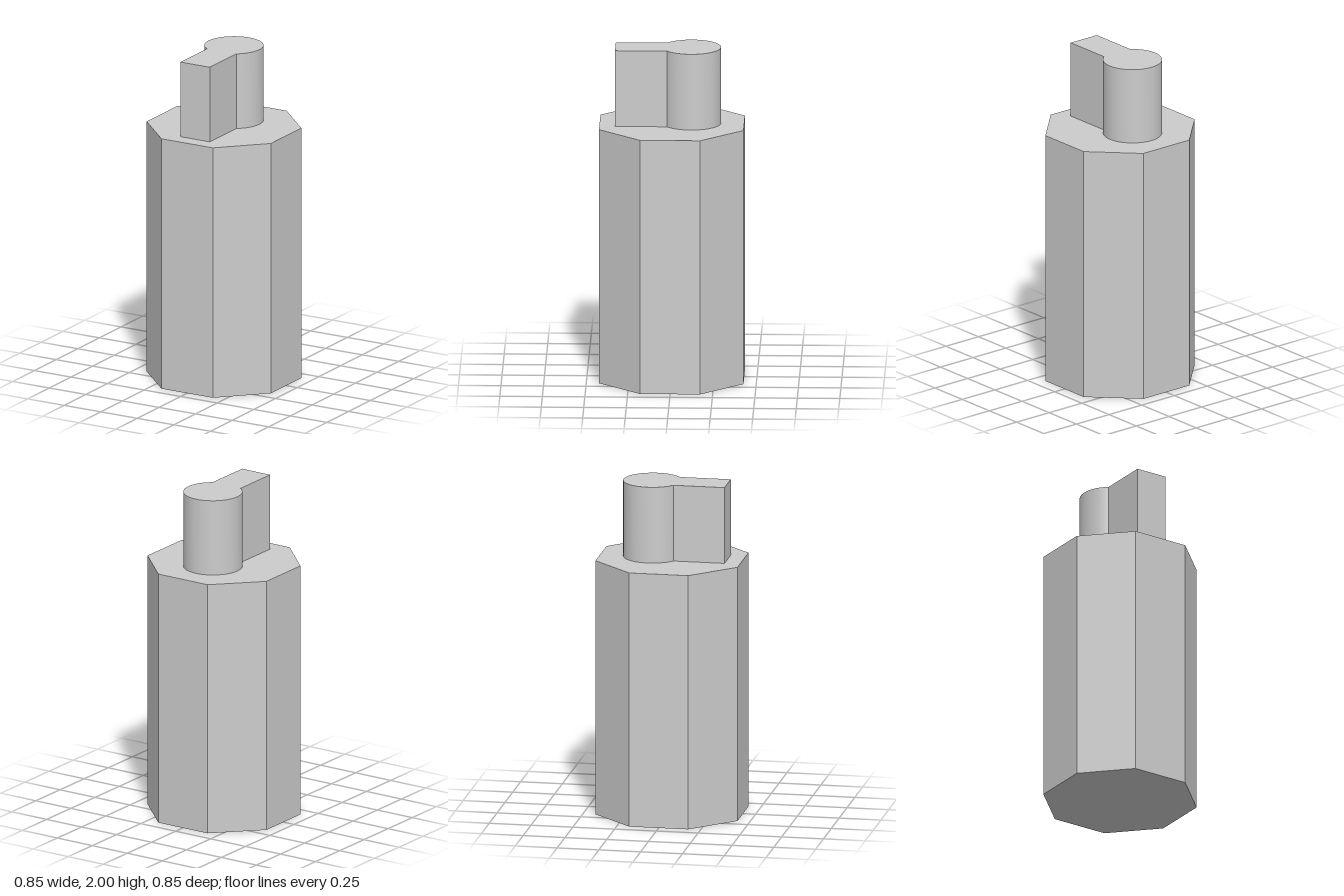
import * as THREE from 'three';
import { toCreasedNormals } from 'three/addons/utils/BufferGeometryUtils.js';

export function createModel() {
  const model = new THREE.Group();
  model.name = 'keyedPost';
  const bodyHeight = 1.54, totalHeight = 2;

  // Octagonal body with flat sides facing the axes
  const bodyGeometry = new THREE.CylinderGeometry(0.46, 0.46, bodyHeight, 8);
  bodyGeometry.rotateY(Math.PI / 8);
  const body = new THREE.Mesh(
    bodyGeometry,
    new THREE.MeshStandardMaterial({ color: 0xcccccc, flatShading: true })
  );
  body.name = 'octagonalBody';
  body.position.y = bodyHeight / 2;
  model.add(body);

  // Keyhole-shaped peg: round shaft at the back, flat tab to the front
  const radius = 0.174, centerZ = -0.115, halfTab = 0.1, tabFront = 0.333;
  const joint = Math.acos(halfTab / radius);
  const outline = new THREE.Shape();
  outline.moveTo(-halfTab, -tabFront);
  outline.lineTo(halfTab, -tabFront);
  outline.absarc(0, -centerZ, radius, -joint, Math.PI + joint, false);
  outline.closePath();

  const pegGeometry = new THREE.ExtrudeGeometry(outline, {
    depth: totalHeight - bodyHeight,
    bevelEnabled: false,
    curveSegments: 48,
  });
  pegGeometry.rotateX(-Math.PI / 2);
  const peg = new THREE.Mesh(
    toCreasedNormals(pegGeometry, 0.5),
    new THREE.MeshStandardMaterial({ color: 0xcccccc })
  );
  peg.name = 'keyholePeg';
  peg.position.y = bodyHeight;
  model.add(peg);

  return model;
}
